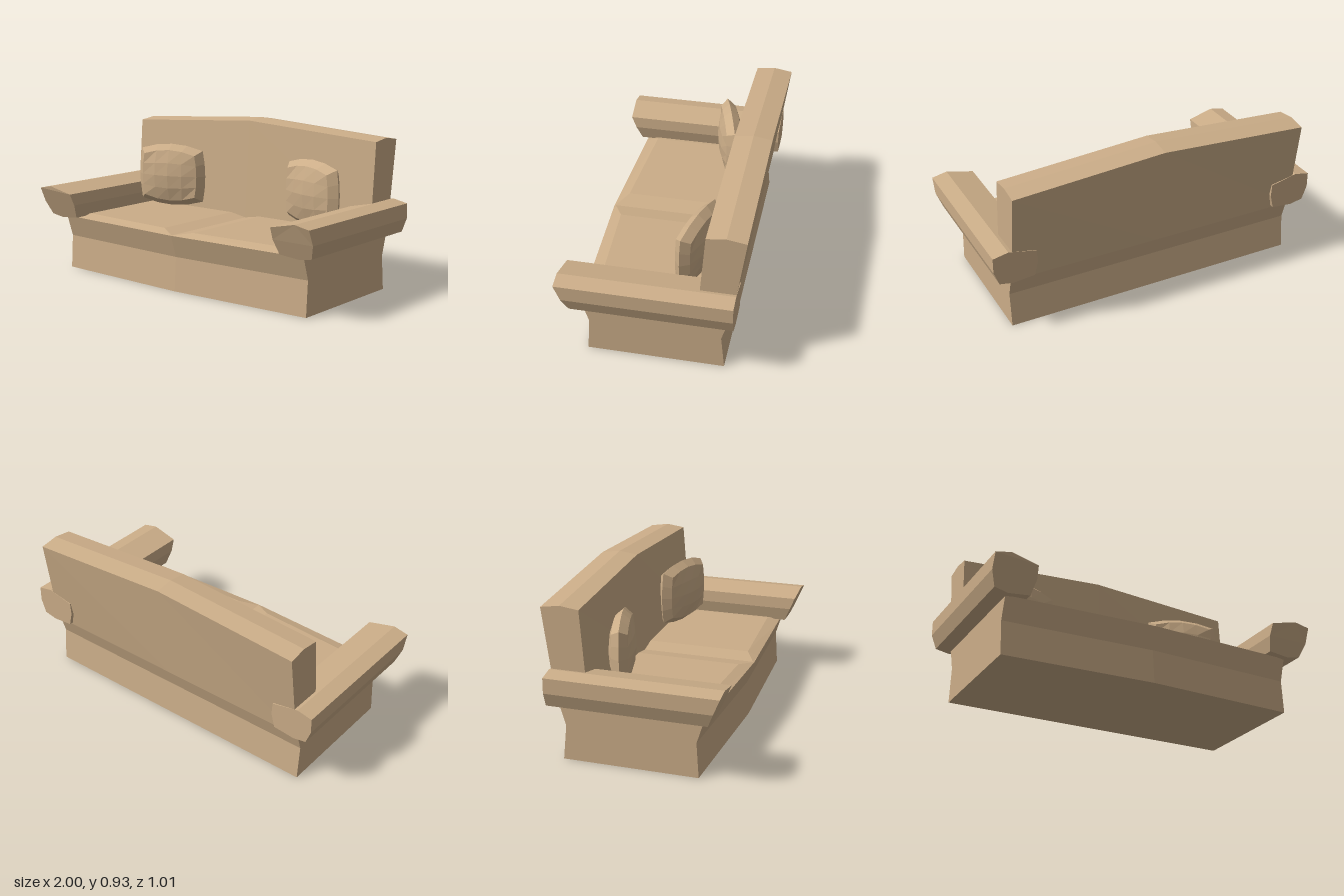
import * as THREE from 'three';

const V = (x, y, z) => new THREE.Vector3(x, y, z);

// Closed solid through matching sections; each loop runs counter-clockwise seen from the last end.
// flat() gives the 2D position of a point inside its section, for the end caps.
function loft(sections, flat) {
  const out = [];
  const tri = (...pts) => pts.forEach((p) => out.push(p.x, p.y, p.z));
  for (let s = 0; s < sections.length - 1; s++) {
    const a = sections[s], b = sections[s + 1];
    a.forEach((_, i) => {
      const j = (i + 1) % a.length;
      tri(a[i], a[j], b[j]);
      tri(a[i], b[j], b[i]);
    });
  }
  const first = sections[0], last = sections[sections.length - 1];
  for (const [i, j, k] of THREE.ShapeUtils.triangulateShape(last.map(flat), [])) {
    tri(last[i], last[j], last[k]);
    tri(first[k], first[j], first[i]);
  }
  const geo = new THREE.BufferGeometry();
  geo.setAttribute('position', new THREE.Float32BufferAttribute(out, 3));
  geo.computeVertexNormals();
  return geo;
}

const sideOn = (p) => new THREE.Vector2(-p.z, p.y);
const frontOn = (p) => new THREE.Vector2(p.x, p.y);

// Waisted base with a bowed front and a seat dipping at the centre seam
function baseGeometry() {
  const stations = [ // x, seat height, front of seat top
    [-0.89, 0.331, 0.315], [-0.74, 0.35, 0.325], [-0.11, 0.35, 0.36], [0, 0.331, 0.42],
    [0.11, 0.35, 0.36], [0.74, 0.35, 0.325], [0.89, 0.331, 0.315],
  ];
  return loft(stations.map(([x, top, zTop]) => {
    const bow = 0.038 * (1 - Math.abs(x) / 0.89);
    return [
      V(x, 0, 0.362 + bow), V(x, 0, -0.405), V(x, 0.2, -0.385), V(x, 0.32, -0.422),
      V(x, top, -0.3), V(x, top, zTop), V(x, 0.33, 0.39 + bow), V(x, 0.2, 0.349 + bow),
    ];
  }), sideOn);
}

// Tapered backrest, peaked at the middle
function backrestGeometry() {
  return loft([-0.89, 0, 0.89].map((x) => {
    const rise = x === 0 ? 0.056 : 0;
    return [
      V(x, 0.32, -0.25), V(x, 0.32, -0.433), V(x, 0.861 + rise, -0.508),
      V(x, 0.878 + rise, -0.4), V(x, 0.864 + rise, -0.292),
    ];
  }), sideOn);
}

// Faceted arm with a raked front end
function armGeometry(side) {
  const profile = [
    [0.89, 0.325], [0.97, 0.34], [1, 0.42], [1, 0.507],
    [0.91, 0.525], [0.75, 0.49], [0.745, 0.42], [0.765, 0.337],
  ];
  if (side < 0) profile.reverse();
  const rake = (y) => Math.min(0.505, 0.505 - 0.42 * (0.51 - y));
  return loft([
    profile.map(([x, y]) => V(side * x, y, -0.462)),
    profile.map(([x, y]) => V(side * x, y, rake(y))),
  ], frontOn);
}

// Box puffed into a pillow: full outline at the seam, inset and domed faces
function pillowGeometry() {
  const box = new THREE.BoxGeometry(2, 2, 2, 4, 4, 2);
  const pos = box.attributes.position;
  for (let i = 0; i < pos.count; i++) {
    const u = pos.getX(i), v = pos.getY(i), w = pos.getZ(i);
    const inset = 1 - 0.18 * Math.abs(w);
    const dome = (1 - u * u) * (1 - v * v);
    pos.setXYZ(i,
      u * 0.212 * (1 + 0.08 * (1 - v * v)) * inset,
      v * 0.16 * (1 + 0.22 * (1 - u * u)) * inset,
      w * (0.045 + 0.032 * dome));
  }
  const geo = box.toNonIndexed();
  geo.computeVertexNormals();
  return geo;
}

export function createModel() {
  const fabric = new THREE.MeshStandardMaterial({ color: 0xcbad88 });
  fabric.name = 'tan fabric';
  const sofa = new THREE.Group();
  sofa.name = 'sofa';
  const add = (name, geo) => {
    const mesh = new THREE.Mesh(geo, fabric);
    mesh.name = name;
    sofa.add(mesh);
    return mesh;
  };

  add('baseAndSeat', baseGeometry());
  add('backrest', backrestGeometry());
  for (const side of [1, -1]) {
    const label = side > 0 ? 'left' : 'right';
    add(label + 'Arm', armGeometry(side));
    const pillow = add(label + 'Pillow', pillowGeometry());
    pillow.position.set(side * 0.537, 0.55, -0.187);
    pillow.rotation.y = -side * 0.27;
  }
  return sofa;
}
